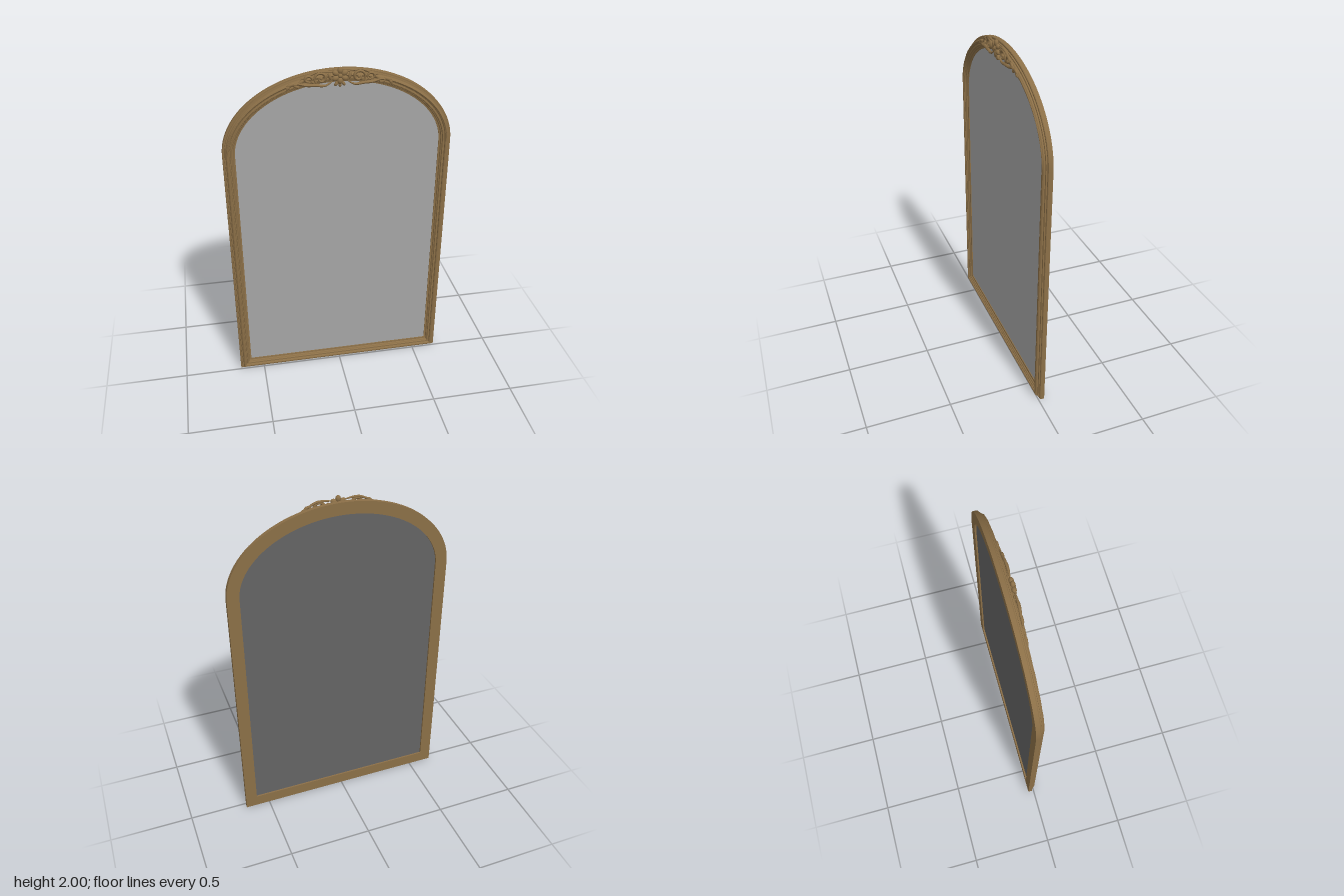
import * as THREE from 'three';
import { toCreasedNormals } from 'three/addons/utils/BufferGeometryUtils.js';

const W = 0.65, SPRING = 1.52, RISE = 0.46;

// Outer outline, counter-clockwise from the bottom left corner
function outline() {
  const pts = [new THREE.Vector2(-W, 0), new THREE.Vector2(W, 0)];
  const n = 64;
  for (let i = 0; i <= n; i++) {
    const a = (i / n) * Math.PI;
    pts.push(new THREE.Vector2(W * Math.cos(a), SPRING + RISE * Math.sin(a)));
  }
  return pts;
}

// Inward mitre direction at every outline point
function mitres(pts) {
  const n = pts.length;
  return pts.map((p, i) => {
    const t0 = p.clone().sub(pts[(i + n - 1) % n]).normalize();
    const t1 = pts[(i + 1) % n].clone().sub(p).normalize();
    const m = new THREE.Vector2(-t0.y - t1.y, t0.x + t1.x).normalize();
    return m.divideScalar(m.dot(new THREE.Vector2(-t0.y, t0.x)));
  });
}

// Sweep a closed [inset, z] profile round the outline
function sweepFrame(pts, dirs, profile) {
  const pos = [], idx = [], n = pts.length, k = profile.length;
  pts.forEach((p, i) => profile.forEach(([d, z]) => {
    pos.push(p.x + dirs[i].x * d, p.y + dirs[i].y * d, z);
  }));
  for (let i = 0; i < n; i++) {
    for (let j = 0; j < k; j++) {
      const i2 = (i + 1) % n, j2 = (j + 1) % k;
      const a = i * k + j, b = i2 * k + j, c = i2 * k + j2, d = i * k + j2;
      idx.push(a, b, c, a, c, d);
    }
  }
  const g = new THREE.BufferGeometry();
  g.setAttribute('position', new THREE.Float32BufferAttribute(pos, 3));
  g.setIndex(idx);
  return toCreasedNormals(g, 0.4);
}

// Tube whose radius follows a rule along its length
function taperedTube(points, radius, rule, segs = 40) {
  const curve = new THREE.CatmullRomCurve3(points);
  const sides = 8;
  const g = new THREE.TubeGeometry(curve, segs, radius, sides);
  const p = g.attributes.position, v = new THREE.Vector3();
  for (let i = 0; i <= segs; i++) {
    const c = curve.getPointAt(i / segs);
    for (let j = 0; j <= sides; j++) {
      const q = i * (sides + 1) + j;
      v.fromBufferAttribute(p, q).sub(c).multiplyScalar(rule(i / segs)).add(c);
      p.setXYZ(q, v.x, v.y, v.z);
    }
  }
  g.computeVertexNormals();
  return g;
}

export function createModel() {
  const group = new THREE.Group();
  const bronze = new THREE.MeshStandardMaterial({ color: 0x8b6f47 });
  bronze.name = 'antique bronze';
  const silver = new THREE.MeshStandardMaterial({ color: 0xa6a6a6 });
  silver.name = 'mirror grey';
  const dark = new THREE.MeshStandardMaterial({ color: 0x646464 });
  dark.name = 'backing grey';
  const add = (name, geo, mat, parent = group) => {
    const m = new THREE.Mesh(geo, mat);
    m.name = name;
    parent.add(m);
    return m;
  };

  // Moulded frame
  const pts = outline(), dirs = mitres(pts);
  add('frame', sweepFrame(pts, dirs, [
    [0, -0.036], [0, -0.012], [0.003, -0.009], [0.011, -0.009], [0.012, -0.002],
    [0.018, 0], [0.02, 0.007], [0.025, 0.012], [0.031, 0.013], [0.036, 0.01],
    [0.038, 0.003], [0.043, 0.003], [0.045, 0.007], [0.05, 0.007], [0.053, 0.001],
    [0.058, -0.001], [0.061, -0.007], [0.07, -0.009], [0.07, -0.036],
  ]), bronze);

  // Mirror and its backing panel
  const inner = new THREE.Shape(pts.map((p, i) => p.clone().addScaledVector(dirs[i], 0.067)));
  add('mirror', new THREE.ShapeGeometry(inner), silver).position.z = -0.014;
  const backing = add('backing', new THREE.ShapeGeometry(inner), dark);
  backing.rotation.y = Math.PI;
  backing.position.z = -0.026;

  // Raised reed along the arch, gently waved
  const reed = [];
  for (let i = 2; i < pts.length; i++) {
    const p = pts[i].clone().addScaledVector(dirs[i], 0.028);
    reed.push(new THREE.Vector3(p.x, p.y, 0.0115));
  }
  add('archReed', taperedTube(reed, 0.0045,
    t => Math.min(1, 40 * t, 40 * (1 - t)) * (0.9 + 0.1 * Math.cos(t * 90)), 160), bronze);

  // Crest
  const crest = new THREE.Group();
  crest.name = 'crest';
  group.add(crest);
  const ball = new THREE.SphereGeometry(1, 16, 10);
  const blob = (name, x, y, z, sx, sy, sz, rot = 0) => {
    const m = add(name, ball, bronze, crest);
    m.position.set(x, y, z);
    m.scale.set(sx, sy, sz);
    m.rotation.z = rot;
  };

  // Rosette
  for (let i = 0; i < 6; i++) {
    const a = Math.PI / 2 + i * Math.PI / 3;
    blob('rosettePetal', 0.028 * Math.cos(a), 1.953 + 0.028 * Math.sin(a), 0.02, 0.019, 0.015, 0.013, a);
  }
  blob('rosetteCentre', 0, 1.953, 0.026, 0.012, 0.012, 0.01);
  for (const a of [-0.7, 0, 0.7]) {
    blob('lowerLeaf', 0.028 * Math.sin(a), 1.922 - 0.018 * Math.cos(a), 0.014, 0.009, 0.017, 0.01, a);
  }

  const swell = t => 0.04 + 0.96 * Math.pow(Math.sin(Math.PI * t), 0.5);
  for (const s of [1, -1]) {
    // Spiral curling in, at a given centre
    const spiral = (cx, cy, z, r0, r1, a0, a1) => {
      const out = [];
      for (let i = 0; i <= 12; i++) {
        const t = i / 12, a = a0 + (a1 - a0) * t, r = r0 + (r1 - r0) * t;
        out.push(new THREE.Vector3(s * (cx + r * Math.cos(a)), cy + r * Math.sin(a), z));
      }
      return out;
    };
    const path = (...p) => p.map(([x, y, z]) => new THREE.Vector3(s * x, y, z));
    add('largeScroll', taperedTube(spiral(0.102, 1.943, 0.02, 0.038, 0.008, -0.9, 7.2), 0.009, swell, 60), bronze, crest);
    blob('scrollEye', s * 0.102, 1.943, 0.021, 0.009, 0.009, 0.009);
    add('smallScroll', taperedTube(spiral(0.172, 1.938, 0.017, 0.025, 0.006, 3.6, -3), 0.008, swell), bronze, crest);
    add('stem', taperedTube(path([0.04, 1.922, 0.018], [0.08, 1.902, 0.02], [0.13, 1.906, 0.019],
      [0.18, 1.908, 0.016], [0.23, 1.918, 0.014], [0.288, 1.897, 0.012]), 0.009, swell), bronze, crest);
    add('upperStem', taperedTube(path([0.03, 1.972, 0.017], [0.07, 1.978, 0.019], [0.12, 1.978, 0.018],
      [0.16, 1.962, 0.016], [0.215, 1.938, 0.013]), 0.007, swell), bronze, crest);
    // Leaves trailing along the arch
    for (const [x, y, len, rot] of [[0.055, 1.95, 0.02, 1.3], [0.14, 1.92, 0.022, 0.5], [0.21, 1.925, 0.026, -0.6],
      [0.235, 1.905, 0.02, 0.5], [0.262, 1.914, 0.024, -0.35], [0.277, 1.9, 0.016, -0.9]]) {
      blob('leaf', s * x, y, 0.013, len, 0.009, 0.008, s * rot);
    }
  }
  return group;
}
